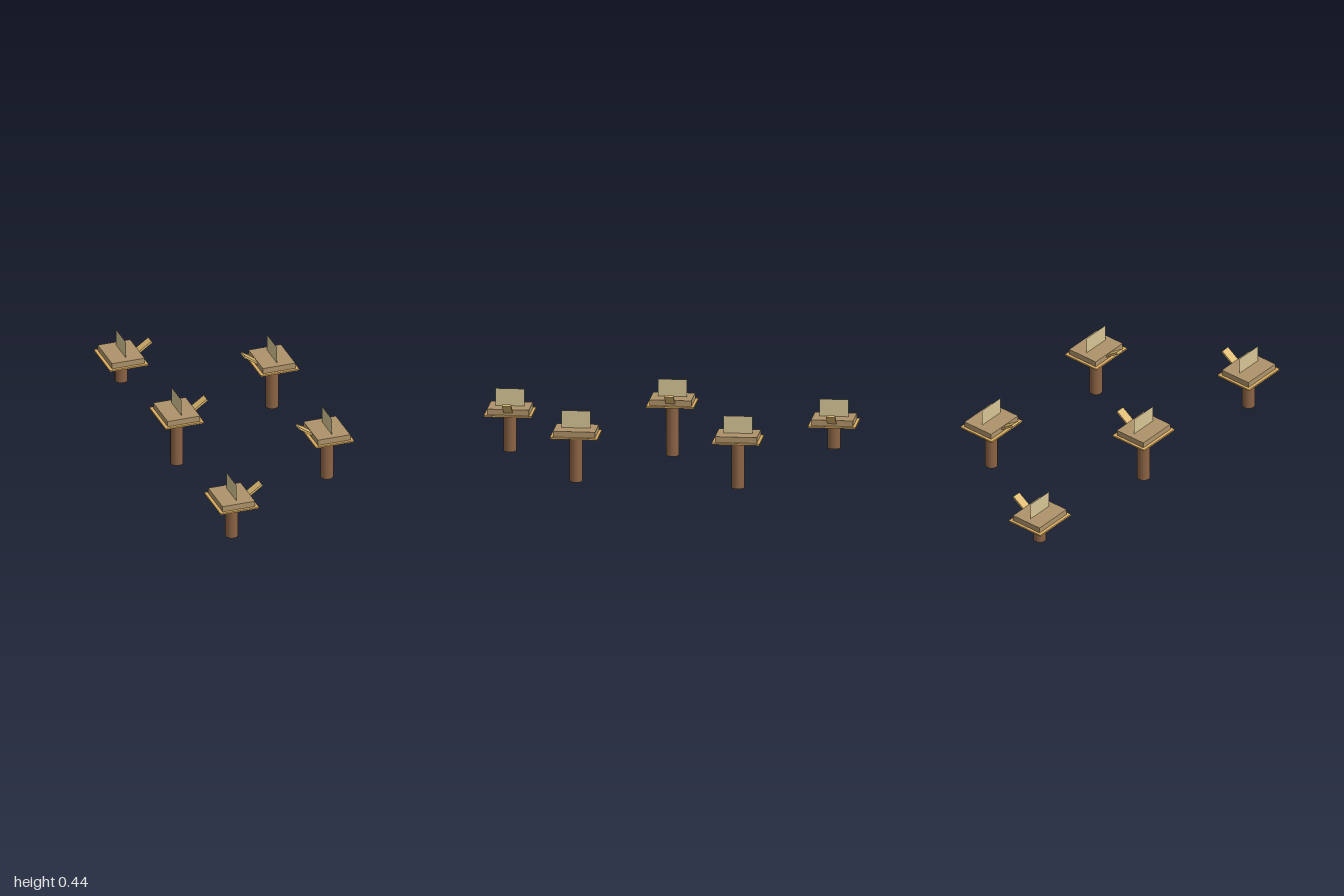
import * as THREE from 'three';

const mat = (color, extra = {}) => new THREE.MeshStandardMaterial({ color, ...extra });

const materials = {
  post: mat(0x8b6344),
  deck: mat(0xd9ac60),
  block: mat(0xae936a),
  ramp: mat(0xdcb870),
  panel: mat(0xd6c594, { side: THREE.DoubleSide }),
};

const YAW = -0.447;

function addPart(parent, name, geometry, material, x = 0, y = 0, z = 0) {
  const mesh = new THREE.Mesh(geometry, material);
  mesh.name = name;
  mesh.position.set(x, y, z);
  parent.add(mesh);
  return mesh;
}

// One raised platform; top is the height of the block's upper face,
// side is the local x direction the ramp points to
function createPlatform({ x, z, base, top, side }) {
  const group = new THREE.Group();
  group.name = 'platform';
  group.position.set(x, 0, z);
  group.rotation.y = YAW;

  const deckTop = top - 0.033;
  const deckBottom = deckTop - 0.009;
  const postHeight = deckBottom - base;

  addPart(group, 'post', new THREE.CylinderGeometry(0.0365, 0.0365, postHeight, 16),
    materials.post, 0, base + postHeight / 2);
  addPart(group, 'deck', new THREE.BoxGeometry(0.23, 0.009, 0.27),
    materials.deck, 0, deckTop - 0.0045);
  addPart(group, 'block', new THREE.BoxGeometry(0.194, 0.033, 0.238),
    materials.block, 0, top - 0.0165);

  // Thin upright panel along the middle
  const panel = addPart(group, 'panel', new THREE.PlaneGeometry(0.165, 0.099),
    materials.panel, 0, top + 0.0495);
  panel.rotation.y = Math.PI / 2;

  // Sloping ramp rising outward from the block
  const ramp = addPart(group, 'ramp', new THREE.BoxGeometry(0.11, 0.012, 0.052),
    materials.ramp, side * 0.13, top + 0.011);
  ramp.rotation.z = side * 0.61;
  return group;
}

export function createModel() {
  const model = new THREE.Group();
  model.name = 'platforms';
  const layout = [
    { x: -0.634, z: 0.828, base: 0, top: 0.26, side: 1 },
    { x: -0.232, z: 0, base: 0, top: 0.34, side: 1 },
    { x: 0.163, z: -0.826, base: 0.068, top: 0.249, side: 1 },
    { x: 0.628, z: -0.093, base: 0, top: 0.315, side: -1 },
    { x: 0.228, z: 0.733, base: 0.012, top: 0.32, side: -1 },
  ];
  for (const spot of layout) model.add(createPlatform(spot));
  return model;
}
